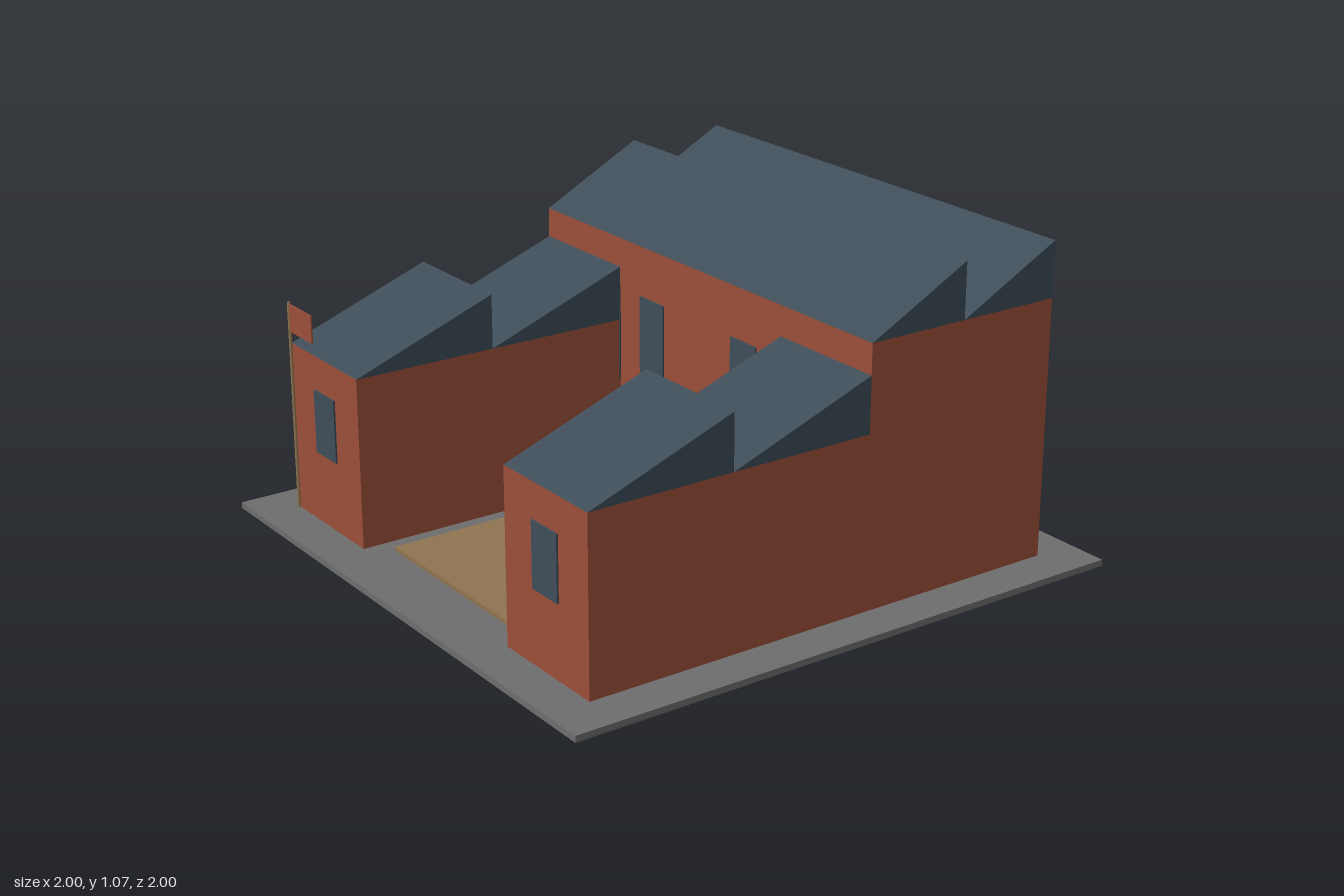
import * as THREE from 'three';

const paint = (name, color) => {
  const m = new THREE.MeshStandardMaterial({ color });
  m.name = name;
  return m;
};

export function createModel() {
  const brick = paint('brick', 0x9c4f38);
  const slate = paint('slate', 0x3f4d58);
  const concrete = paint('concrete', 0x6e6e6e);
  const sand = paint('sand', 0x8f7550);
  const model = new THREE.Group();
  model.name = 'factory';

  const add = (name, geometry, material) => {
    const mesh = new THREE.Mesh(geometry, material);
    mesh.name = name;
    model.add(mesh);
    return mesh;
  };
  // box given by its limits on each axis
  const box = (name, material, x0, x1, y0, y1, z0, z1) =>
    add(name, new THREE.BoxGeometry(x1 - x0, y1 - y0, z1 - z0), material)
      .position.set((x0 + x1) / 2, (y0 + y1) / 2, (z0 + z1) / 2);
  // sawtooth roof wedge: low at the front edge, upright at the back edge
  const sawtooth = (name, x0, x1, y, rise, front, back) => {
    const profile = new THREE.Shape([
      new THREE.Vector2(-front, y),
      new THREE.Vector2(-back, y),
      new THREE.Vector2(-back, y + rise),
    ]);
    const geometry = new THREE.ExtrudeGeometry(profile, { depth: x1 - x0, bevelEnabled: false });
    geometry.rotateY(Math.PI / 2).translate(x0, 0, 0);
    add(name, geometry, slate);
  };

  // ground
  box('groundSlab', concrete, -1, 1, 0, 0.021, -1, 1);
  box('courtyard', sand, -0.357, 0.357, 0.021, 0.036, -0.077, 0.783);

  // main hall
  box('hallWalls', brick, -0.857, 0.857, 0.021, 0.88, -0.857, -0.143);
  sawtooth('hallRoofFront', -0.857, 0.857, 0.88, 0.185, -0.143, -0.5);
  sawtooth('hallRoofBack', -0.857, 0.857, 0.88, 0.185, -0.5, -0.857);
  box('door', slate, -0.084, 0.084, 0.021, 0.342, -0.143, -0.134);

  for (const side of [-1, 1]) {
    // wing
    const x0 = side > 0 ? 0.429 : -0.857;
    const x1 = x0 + 0.428;
    box('wingWalls', brick, x0, x1, 0.021, 0.596, -0.143, 0.857);
    sawtooth('wingRoofFront', x0, x1, 0.596, 0.184, 0.857, 0.357);
    sawtooth('wingRoofBack', x0, x1, 0.596, 0.184, 0.357, -0.143);
    const wx = side * 0.643;
    box('wingWindow', slate, wx - 0.065, wx + 0.065, 0.266, 0.48, 0.857, 0.863);

    // tall hall windows, front and back
    for (const i of [1, 2, 3]) {
      const x = side * 0.2455 * i;
      box('hallBackWindow', slate, x - 0.064, x + 0.064, 0.39, 0.71, -0.863, -0.857);
      if (i < 3) box('hallFrontWindow', slate, x - 0.064, x + 0.064, 0.39, 0.71, -0.143, -0.137);
    }
  }

  // flag on the front corner of the right wing
  const pole = add('flagPole', new THREE.CylinderGeometry(0.006, 0.006, 0.715, 8), sand);
  pole.position.set(-0.857, 0.378, 0.86);
  box('flag', brick, -0.855, -0.706, 0.636, 0.73, 0.857, 0.862);

  return model;
}
